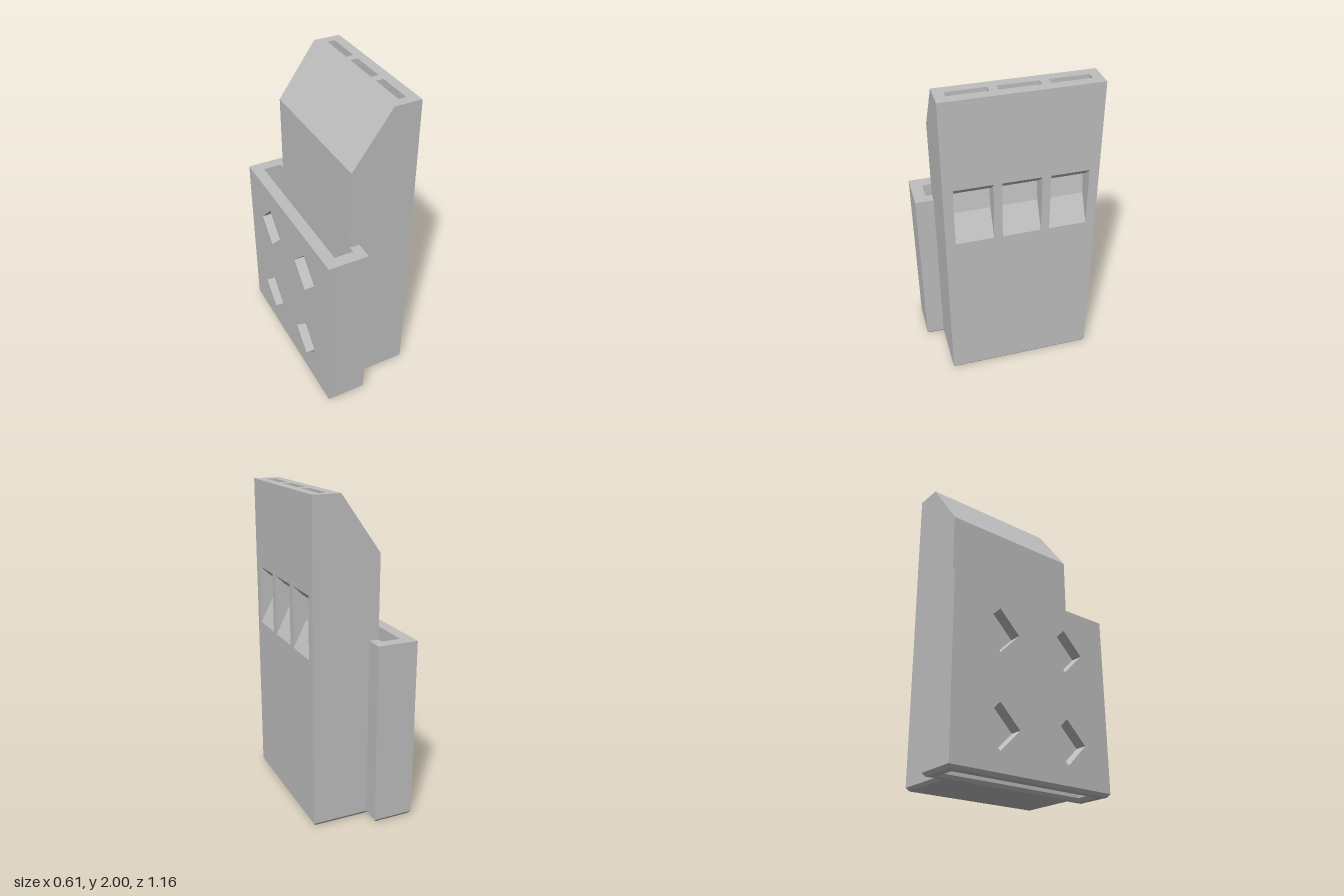
import * as THREE from 'three';

const grey = new THREE.MeshStandardMaterial({ color: 0xbfbfbf });
grey.name = 'grey plastic';

const points = (list) => list.map(([x, y]) => new THREE.Vector2(x, y));
const rectangle = (x, y) => [[x[0], y[0]], [x[1], y[0]], [x[1], y[1]], [x[0], y[1]]];

function extrude(outline, depth, holes = []) {
  const shape = new THREE.Shape(points(outline));
  for (const hole of holes) shape.holes.push(new THREE.Path(points(hole)));
  return new THREE.ExtrudeGeometry(shape, { depth, bevelEnabled: false });
}

export function createModel() {
  const model = new THREE.Group();
  const add = (name, geometry) => {
    const mesh = new THREE.Mesh(geometry, grey);
    mesh.name = name;
    model.add(mesh);
    return mesh;
  };

  const baseY = 0.02, sleeveTop = 1.15, halfBody = 0.465, halfSleeve = 0.58;

  // Main body, made of side profiles stacked along z: solid ribs and slotted bays
  const solid = [[-0.11, baseY], [0.305, baseY], [0.305, 2], [0.135, 2], [-0.11, 1.66]];
  const bayInner = [
    [-0.11, baseY], [0.305, baseY], [0.305, 1.065], [0.22, 1.23],
    [0.195, 1.385], [0.195, 2], [0.135, 2], [-0.11, 1.66],
  ];
  const bayOuter = [[0.243, 1.385], [0.305, 1.445], [0.305, 2], [0.243, 2]];
  const cuts = [-halfBody, -0.405, -0.171, -0.119, 0.119, 0.171, 0.405, halfBody];
  for (let i = 0; i < cuts.length - 1; i++) {
    const depth = cuts[i + 1] - cuts[i];
    const slice = (name, outline) => add(name, extrude(outline, depth).translate(0, 0, cuts[i]));
    if (i % 2 === 0) slice('bodyRib', solid);
    else {
      slice('slotRamp', bayInner);
      slice('slotOuterWall', bayOuter);
    }
  }

  // Sleeve plate with four diamond holes
  const r = 0.14, diamonds = [];
  for (const z of [-0.25, 0.25]) for (const y of [0.28, 0.86]) {
    diamonds.push([[z + r, y], [z, y + r], [z - r, y], [z, y - r]]);
  }
  add('sleevePlate', extrude(rectangle([-halfSleeve, halfSleeve], [baseY, sleeveTop]), 0.075, diamonds)
    .rotateY(-Math.PI / 2).translate(-0.23, 0, 0));

  // Sleeve end walls with lips that grip the body
  for (const side of [-1, 1]) {
    const wall = [[-0.23, 0.505], [-0.11, 0.505], [-0.11, halfBody], [-0.05, halfBody],
      [-0.05, halfSleeve], [-0.23, halfSleeve]].map(([x, z]) => [x, z * side]);
    add('sleeveEndWall', extrude(wall, sleeveTop - baseY)
      .rotateX(-Math.PI / 2).translate(0, baseY, 0));
  }

  // Chamfered foot below body and sleeve, open through the sleeve slot
  const half = [[0.305, halfBody], [-0.05, halfBody], [-0.05, halfSleeve], [-0.305, halfSleeve]];
  const mirrored = half.map(([x, z]) => [x, -z]).reverse();
  const foot = extrude([...half, ...mirrored], baseY, [rectangle([-0.23, -0.11], [-0.505, 0.505])])
    .rotateX(-Math.PI / 2);
  const p = foot.attributes.position;
  const inset = 0.015;
  const near = (a, b) => Math.abs(a - b) < 1e-4;
  for (let i = 0; i < p.count; i++) {
    if (p.getY(i) > baseY / 2) continue;
    const x = p.getX(i), z = p.getZ(i);
    const right = near(x, -0.305) || near(x, -0.11);
    const out = near(Math.abs(z), 0.505);
    p.setX(i, x + (right ? inset : -inset));
    p.setZ(i, z + Math.sign(z) * (out ? inset : -inset));
  }
  foot.computeVertexNormals();
  add('chamferedFoot', foot);

  return model;
}
